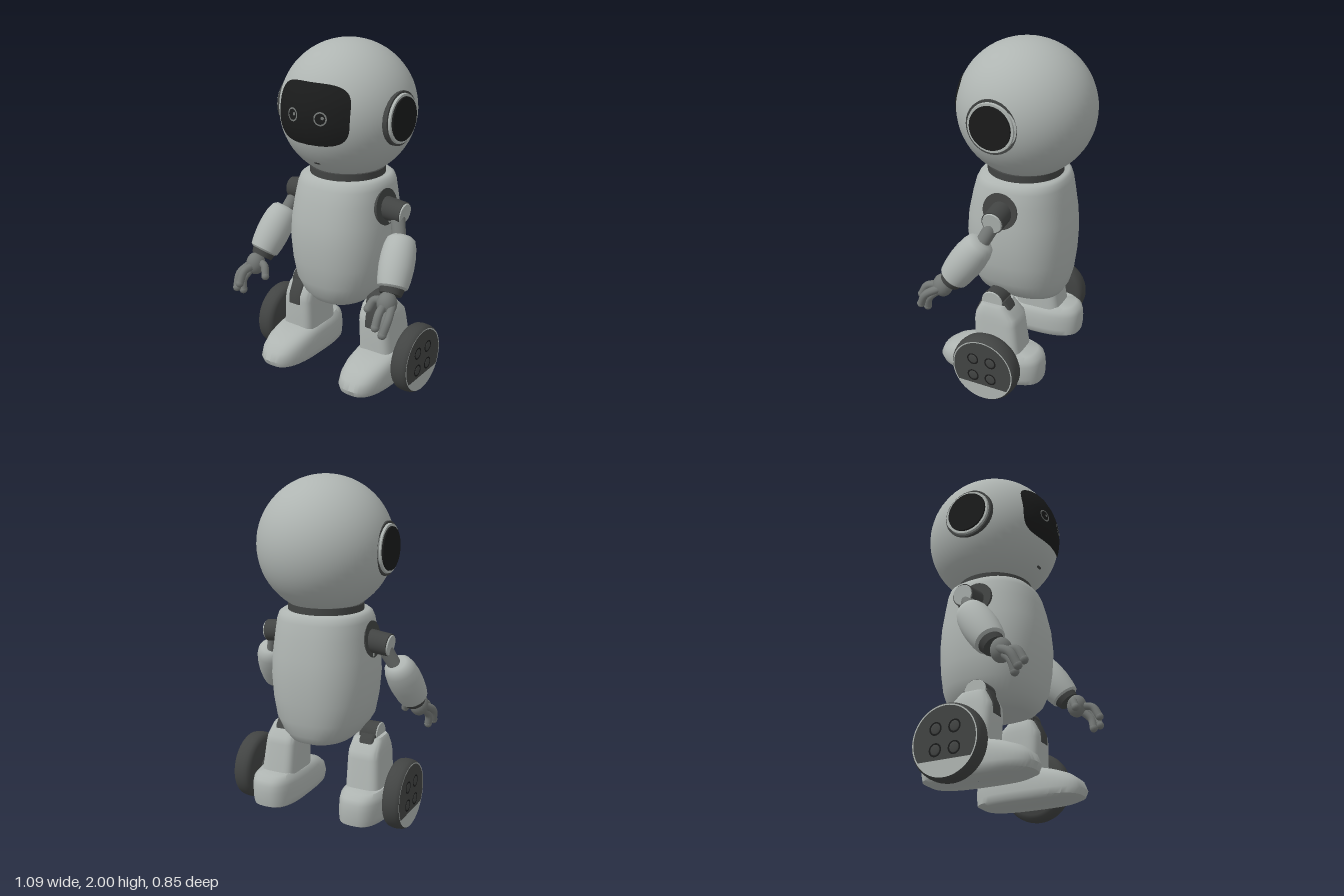
import * as THREE from 'three';
import { toCreasedNormals } from 'three/addons/utils/BufferGeometryUtils.js';

const V = (x, y, z) => new THREE.Vector3(x, y, z);
const HEAD = { c: V(0, 1.615, -0.036), r: V(0.384, 0.385, 0.391) };

function material(name, color) {
  const m = new THREE.MeshStandardMaterial({ color });
  m.name = name;
  return m;
}

// Skin over rounded horizontal sections: [y, centreX, centreZ, halfX, halfZ]
function loft(rows, power, n = 36) {
  const pos = [], idx = [];
  const first = rows[0], last = rows[rows.length - 1];
  const all = [[...first.slice(0, 3), 0.002, 0.002], ...rows, [...last.slice(0, 3), 0.002, 0.002]];
  const bend = v => Math.sign(v) * Math.abs(v) ** (2 / power);
  all.forEach(([y, cx, cz, hx, hz], j) => {
    for (let i = 0; i < n; i++) {
      const t = i / n * Math.PI * 2;
      pos.push(cx + hx * bend(Math.cos(t)), y, cz + hz * bend(Math.sin(t)));
      if (j === all.length - 1) continue;
      const a = j * n + i, b = j * n + (i + 1) % n;
      idx.push(a, a + n, b, b, a + n, b + n);
    }
  });
  const g = new THREE.BufferGeometry();
  g.setAttribute('position', new THREE.Float32BufferAttribute(pos, 3));
  g.setIndex(idx);
  return toCreasedNormals(g, 0.8);
}

// Rounded patch lying just above the front of the head
function headPatch(cx, cy, hx, hy, power, lift, inner = 0) {
  const n = 48, rings = 8, pos = [], idx = [];
  const bend = v => Math.sign(v) * Math.abs(v) ** (2 / power);
  for (let j = 0; j <= rings; j++) for (let i = 0; i < n; i++) {
    const k = inner + (1 - inner) * j / rings, t = i / n * Math.PI * 2;
    const x = cx + hx * k * bend(Math.cos(t)), y = cy + hy * k * bend(Math.sin(t));
    const f = 1 - (x / HEAD.r.x) ** 2 - ((y - HEAD.c.y) / HEAD.r.y) ** 2;
    pos.push(x, y, HEAD.c.z + HEAD.r.z * Math.sqrt(f) + lift);
    if (j === rings) continue;
    const a = j * n + i, b = j * n + (i + 1) % n;
    idx.push(a, a + n, b, b, a + n, b + n);
  }
  const g = new THREE.BufferGeometry();
  g.setAttribute('position', new THREE.Float32BufferAttribute(pos, 3));
  g.setIndex(idx);
  g.computeVertexNormals();
  return g;
}

export function createModel() {
  const model = new THREE.Group();
  const shell = material('light grey shell', 0xafb5b2);
  const dark = material('dark grey joints', 0x424443);
  const mid = material('mid grey metal', 0x747876);
  const black = material('black glass', 0x1a1b1b);

  const add = (name, geo, mat, parent = model) => {
    const m = new THREE.Mesh(geo, mat);
    m.name = name;
    parent.add(m);
    return m;
  };
  // Aim a y-axis part from a to b, starting at a
  const aim = (mesh, a, b) => {
    mesh.position.copy(a);
    mesh.quaternion.setFromUnitVectors(V(0, 1, 0), b.clone().sub(a).normalize());
    return mesh;
  };
  const rod = (name, a, b, r1, r2, mat, parent) => {
    const h = a.distanceTo(b);
    return aim(add(name, new THREE.CylinderGeometry(r2, r1, h, 32).translate(0, h / 2, 0), mat, parent), a, b);
  };
  const lathe = (pts, n = 32) =>
    toCreasedNormals(new THREE.LatheGeometry(pts.map(p => new THREE.Vector2(...p)), n), 0.7);

  // Head, visor and face
  const head = add('head', new THREE.SphereGeometry(1, 48, 32), shell);
  head.scale.copy(HEAD.r);
  head.position.copy(HEAD.c);
  add('visor', headPatch(0, 1.65, 0.23, 0.165, 3.6, 0.006), black);
  for (const s of [-1, 1]) {
    add('eyeRing', headPatch(s * 0.09, 1.64, 0.037, 0.037, 2, 0.009, 0.78), mid);
    add('pupil', headPatch(s * 0.09 + 0.012, 1.645, 0.009, 0.009, 2, 0.009), mid);
  }
  add('mouth', headPatch(0, 1.362, 0.022, 0.006, 3, 0.004), dark);

  // Neck and torso
  add('neck', new THREE.CylinderGeometry(0.217, 0.217, 0.055, 40).translate(0, 1.262, -0.03), dark);
  add('torso', loft([
    [0.49, 0, -0.03, 0.14, 0.2], [0.505, 0, -0.03, 0.175, 0.235], [0.55, 0, -0.025, 0.225, 0.265],
    [0.63, 0, -0.02, 0.27, 0.29], [0.75, 0, -0.018, 0.292, 0.305], [0.88, 0, -0.016, 0.302, 0.312],
    [1.0, 0, -0.018, 0.295, 0.304], [1.12, 0, -0.022, 0.28, 0.282], [1.2, 0, -0.027, 0.268, 0.264],
    [1.235, 0, -0.03, 0.256, 0.25], [1.25, 0, -0.03, 0.235, 0.235]], 2.4, 48), shell);

  for (const s of [-1, 1]) {
    const P = (x, y, z) => V(s * x, y, z);
    const side = s > 0 ? 'left' : 'right';
    const part = name => {
      const g = new THREE.Group();
      g.name = side + name;
      model.add(g);
      return g;
    };

    // Ear discs, nearly flush with the head
    const ear = part('Ear');
    rod('earBase', P(0.31, 1.61, -0.005), P(0.366, 1.61, -0.005), 0.152, 0.149, dark, ear);
    rod('earRing', P(0.33, 1.61, -0.005), P(0.379, 1.61, -0.005), 0.146, 0.134, shell, ear);
    rod('earGlass', P(0.36, 1.61, -0.005), P(0.388, 1.61, -0.005), 0.125, 0.119, black, ear);

    // Shoulder and arm
    const arm = part('Arm');
    rod('shoulderSocket', P(0.235, 1.087, -0.005), P(0.283, 1.093, -0.005), 0.108, 0.105, dark, arm);
    rod('shoulderJoint', P(0.26, 1.087, -0.01), P(0.39, 1.073, -0.015), 0.066, 0.064, dark, arm);
    rod('shoulderCap', P(0.39, 1.073, -0.015), P(0.398, 1.072, -0.015), 0.059, 0.056, shell, arm);
    rod('upperArm', P(0.35, 1.06, -0.01), P(0.415, 0.9, 0.065), 0.042, 0.038, mid, arm);
    const elbow = P(0.41, 0.962, 0.035), wrist = P(0.458, 0.71, 0.205);
    aim(add('forearm', lathe([[0, 0], [0.055, 0.002], [0.078, 0.02], [0.091, 0.06], [0.098, 0.12],
      [0.099, 0.18], [0.093, 0.25], [0.085, 0.29], [0.072, 0.3], [0, 0.302]]), shell, arm), elbow, wrist);
    rod('cuff', P(0.452, 0.725, 0.193), P(0.457, 0.688, 0.22), 0.073, 0.062, dark, arm);

    // Hand with three fingers and a thumb
    const hand = part('Hand');
    const palm = add('palm', new THREE.SphereGeometry(1, 20, 14), mid, hand);
    palm.scale.set(0.056, 0.068, 0.058);
    palm.position.copy(P(0.465, 0.655, 0.265));
    const fingers = [
      [P(0.5, 0.65, 0.27), P(0.524, 0.605, 0.345), P(0.515, 0.53, 0.385)],
      [P(0.48, 0.63, 0.28), P(0.5, 0.57, 0.34), P(0.492, 0.51, 0.355)],
      [P(0.46, 0.65, 0.28), P(0.475, 0.635, 0.36), P(0.478, 0.57, 0.4)],
      [P(0.44, 0.665, 0.26), P(0.39, 0.66, 0.275), P(0.364, 0.61, 0.3)]];
    fingers.forEach((pts, i) => {
      const name = i === 3 ? 'thumb' : 'finger';
      add(name, new THREE.TubeGeometry(new THREE.CatmullRomCurve3(pts), 12, 0.023, 10), mid, hand);
      add(name + 'Tip', new THREE.SphereGeometry(0.024, 12, 8), mid, hand).position.copy(pts[2]);
    });

    // Hip and leg
    const leg = part('Leg');
    rod('hipJoint', P(0.218, 0.525, 0.03), P(0.32, 0.525, 0.03), 0.068, 0.068, dark, leg);
    rod('hipCap', P(0.32, 0.525, 0.03), P(0.326, 0.525, 0.03), 0.067, 0.063, shell, leg);
    add('shin', loft([
      [0.15, s * 0.285, -0.02, 0.115, 0.155], [0.28, s * 0.278, -0.01, 0.108, 0.142],
      [0.41, s * 0.272, 0.003, 0.102, 0.135], [0.45, s * 0.27, 0.005, 0.098, 0.128],
      [0.505, s * 0.268, 0.02, 0.09, 0.085], [0.52, s * 0.268, 0.021, 0.08, 0.075]], 4.5), shell, leg);
    add('kneeSlot', loft([
      [0.39, s * 0.278, 0.06, 0.047, 0.082], [0.45, s * 0.278, 0.02, 0.047, 0.118],
      [0.51, s * 0.276, 0.02, 0.047, 0.091], [0.54, s * 0.275, 0.025, 0.047, 0.07]], 8), dark, leg);

    // Foot
    add(side + 'Foot', loft([
      [0.05, s * 0.283, 0.035, 0.122, 0.282], [0.065, s * 0.284, 0.043, 0.139, 0.318],
      [0.1, s * 0.286, 0.048, 0.144, 0.328], [0.15, s * 0.287, 0.037, 0.143, 0.318],
      [0.19, s * 0.288, 0.013, 0.139, 0.29], [0.22, s * 0.289, -0.022, 0.129, 0.245],
      [0.243, s * 0.29, -0.05, 0.108, 0.185]], 2.8, 44), shell);

    // Wheel
    const wheel = part('Wheel');
    wheel.position.copy(P(0.486, 0.203, -0.015));
    const turn = g => g.rotateZ(-s * Math.PI / 2);
    const face = (g, x, y = 0, z = 0) => g.rotateY(s * Math.PI / 2).translate(s * x, y, z);
    add('tyre', turn(lathe([[0, -0.054], [0.17, -0.054], [0.188, -0.047], [0.199, -0.032], [0.203, -0.012],
      [0.203, 0.012], [0.2, 0.032], [0.195, 0.046], [0.188, 0.053], [0, 0.053]], 48)), dark, wheel);
    add('axle', turn(new THREE.CylinderGeometry(0.05, 0.05, 0.12, 24).translate(0, -0.08, 0)), dark, wheel);
    add('rim', face(new THREE.RingGeometry(0.181, 0.188, 48), 0.0538), shell, wheel);
    const chord = new THREE.Shape();
    chord.absarc(0, 0, 0.188, Math.PI + 0.55, Math.PI * 2 - 0.55, false);
    add('rimPlate', face(new THREE.ShapeGeometry(chord, 24), 0.0535), shell, wheel);
    for (const y of [-0.045, 0.065]) for (const z of [-0.052, 0.058]) {
      add('hubRecess', face(new THREE.CircleGeometry(0.036, 24), 0.0542, y, z), black, wheel);
      const bolt = add('hubBolt', new THREE.SphereGeometry(0.028, 16, 10), dark, wheel);
      bolt.scale.x = 0.15;
      bolt.position.set(s * 0.0535, y, z);
    }
  }
  return model;
}
